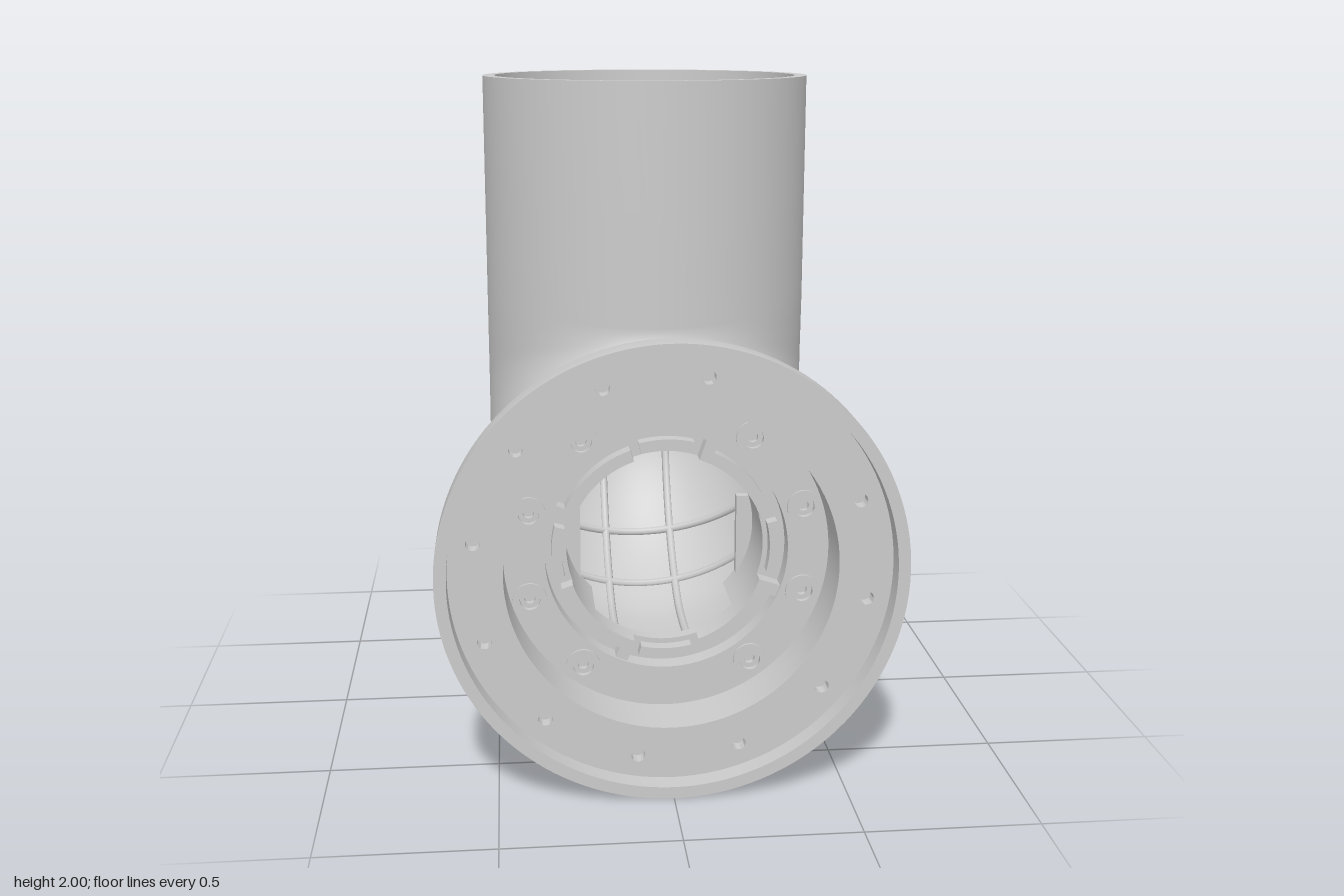
import * as THREE from 'three';
import { toCreasedNormals } from 'three/addons/utils/BufferGeometryUtils.js';

const V2 = (x, y) => new THREE.Vector2(x, y);
const RAD = Math.PI / 180;
const R = 0.51, WALL = 0.05, PIPE_Y = 0.665, STEM_Z = -0.203;

// Cross-sections of the elbow: inside edge (az, ay) and outside edge (bz, by).
function elbowRows() {
  const back = new THREE.SplineCurve([
    [-0.713, 1.45], [-0.718, 1.3], [-0.737, 1.08], [-0.759, 0.82], [-0.715, 0.6], [-0.605, 0.41],
    [-0.445, 0.262], [-0.26, 0.17], [-0.1, 0.148], [0.1, 0.15]].map(p => V2(...p)));
  const rows = [[0.307, 2, -0.713, 2], [0.307, 1.62, -0.713, 1.62], [0.307, 1.45, -0.713, 1.52]];
  const n = 40;
  for (let i = 0; i <= n; i++) {
    const a = i / n * Math.PI / 2, b = back.getPointAt(i / n);
    rows.push([0.407 - 0.1 * Math.cos(a), 1.28 - 0.1 * Math.sin(a), b.x, b.y]);
  }
  rows.push([0.45, 1.176, 0.3, 0.154], [0.53, 1.175, 0.53, 0.155]);
  return rows;
}

// Point on the elbow wall; angle 0 is the outside of the bend.
function wallPoint([az, ay, bz, by], th, inset) {
  const dz = (bz - az) / 2, dy = (by - ay) / 2;
  const k = (1 - inset / Math.hypot(dz, dy)) * Math.cos(th);
  return new THREE.Vector3((R - inset) * Math.sin(th), (ay + by) / 2 + dy * k, (az + bz) / 2 + dz * k);
}

function sweep(rows, inset, inward) {
  const n = 96, pos = [], idx = [];
  rows.forEach((row, j) => {
    for (let i = 0; i < n; i++) {
      pos.push(...wallPoint(row, i / n * 2 * Math.PI, inset).toArray());
      if (j === rows.length - 1) continue;
      const a = j * n + i, b = j * n + (i + 1) % n, c = a + n, d = b + n;
      if (inward) idx.push(a, c, b, b, c, d);
      else idx.push(a, b, c, b, d, c);
    }
  });
  const g = new THREE.BufferGeometry();
  g.setAttribute('position', new THREE.Float32BufferAttribute(pos, 3));
  g.setIndex(idx);
  g.computeVertexNormals();
  return g;
}

const lathe = (pts, seg = 96) =>
  toCreasedNormals(new THREE.LatheGeometry(pts.map(p => V2(...p)), seg), 0.6);

// Flat ring with a circle of holes, extruded along +z.
function holedRing(rOut, rIn, depth, angles, rPitch, rHole) {
  const s = new THREE.Shape().absarc(0, 0, rOut, 0, 2 * Math.PI);
  s.holes.push(new THREE.Path().absarc(0, 0, rIn, 0, 2 * Math.PI, true));
  for (const a of angles) {
    s.holes.push(new THREE.Path().absarc(rPitch * Math.cos(a * RAD), rPitch * Math.sin(a * RAD), rHole, 0, 2 * Math.PI, true));
  }
  const g = new THREE.ExtrudeGeometry(s, { depth, bevelEnabled: false, curveSegments: 48 });
  return toCreasedNormals(g, 0.6);
}

// Curved bar, extruded along +z.
function arcBar(r0, r1, from, to, depth) {
  const s = new THREE.Shape().absarc(0, 0, r1, from * RAD, to * RAD);
  s.absarc(0, 0, r0, to * RAD, from * RAD, true);
  return toCreasedNormals(new THREE.ExtrudeGeometry(s, { depth, bevelEnabled: false, curveSegments: 16 }), 0.6);
}

export function createModel() {
  const model = new THREE.Group();
  const mat = new THREE.MeshStandardMaterial({ color: 0xcccccc });
  const add = (name, geo, parent = model) => {
    const m = new THREE.Mesh(geo, mat);
    m.name = name;
    parent.add(m);
    return m;
  };
  const every30 = Array.from({ length: 12 }, (_, i) => i * 30);

  // Elbow pipe, outside and inside skins
  const rows = elbowRows();
  const shell = add('elbowOuterWall', sweep(rows, 0, false));
  add('elbowInnerWall', sweep(rows.slice(1), WALL, true));

  // Stepped socket at the top opening
  add('topSocket', lathe([[R, 2], [0.473, 2], [0.473, 1.84], [0.463, 1.84], [0.463, 1.68], [0.45, 1.68], [0.45, 1.6]]))
    .position.z = STEM_Z;
  const ledge = add('topLedge', holedRing(0.456, 0.38, 0.05, every30, 0.42, 0.015));
  ledge.rotation.x = -Math.PI / 2;
  ledge.position.set(0, 1.57, STEM_Z);

  // Stiffening ribs inside the bend
  const rib = (name, pts) =>
    add(name, new THREE.TubeGeometry(new THREE.CatmullRomCurve3(pts), 64, 0.014, 8));
  for (const side of [1, -1]) {
    const th = Math.asin(side * 0.115 / (R - WALL));
    rib('longRib', rows.slice(1).map(r => wallPoint(r, th, WALL)));
  }
  for (const z of [-0.555, -0.36]) {
    const row = rows.find(r => r[3] < 0.6 && r[2] > z);
    rib('crossRib', Array.from({ length: 25 }, (_, i) => wallPoint(row, (i - 12) * 7 * RAD, WALL)));
  }

  // Front flange
  const flange = new THREE.Group();
  flange.name = 'flange';
  flange.position.y = PIPE_Y;
  model.add(flange);
  add('flangeBody', lathe([
    [0.29, 0.44], [0.47, 0.44], [0.47, 0.507], [0.535, 0.507], [0.56, 0.514], [0.582, 0.53], [0.605, 0.558],
    [0.645, 0.632], [0.658, 0.656], [0.665, 0.685], [0.665, 0.762], [0.63, 0.762], [0.63, 0.66],
    [0.475, 0.66], [0.475, 0.51], [0.355, 0.51], [0.355, 0.48], [0.29, 0.48], [0.29, 0.44],
  ], 128).rotateX(Math.PI / 2), flange);
  const faceAngles = every30.map(a => a + 20).filter(a => a !== 50);
  add('flangeFace', holedRing(0.631, 0.475, 0.04, faceAngles, 0.565, 0.02), flange).position.z = 0.66;

  // Recessed floor with screw seats
  const seats = [18, 54, 126, 162, 198, 234, 306, 342];
  add('recessFloor', holedRing(0.476, 0.355, 0.03, seats, 0.42, 0.036), flange).position.z = 0.51;
  for (const a of seats) {
    const seat = add('screwSeat', lathe([[0.05, 0], [0.05, 0.008], [0.03, 0.008], [0.03, -0.008],
      [0.016, -0.008], [0.016, -0.025], [0, -0.025]], 24), flange);
    seat.rotation.x = Math.PI / 2;
    seat.position.set(0.42 * Math.cos(a * RAD), 0.42 * Math.sin(a * RAD), 0.54);
  }

  // Locking lips around the inlet
  for (const a of [45, 135, 225, 315]) {
    add('lockingLip', arcBar(0.29, 0.325, a - 26, a + 26, 0.05), flange).position.z = 0.48;
    add('lockingStop', arcBar(0.32, 0.357, a + 20, a + 26, 0.05), flange).position.z = 0.48;
  }
  for (const a of [0, 90, 180, 270]) {
    add('lockingTab', arcBar(0.305, 0.335, a - 14, a + 14, 0.04), flange).position.z = 0.48;
  }

  // Curved guide walls with end stops, just behind the inlet
  for (const a of [0, 180]) {
    add('guideWall', arcBar(0.29, 0.31, a - 45, a + 45, 0.2), flange).position.z = 0.25;
    add('guideStop', new THREE.BoxGeometry(0.06, 0.33, 0.03), flange)
      .position.set(0.27 * Math.cos(a * RAD), -0.08, 0.265);
  }

  // Drain openings on both flanks: [z, y, half width, half length, tilt]
  shell.updateMatrixWorld();
  for (const side of [1, -1]) {
    for (const [z, y, w, l, tilt] of [[-0.55, 0.5, 0.035, 0.075, 0], [0.145, 0.235, 0.027, 0.046, 0]]) {
      const ray = new THREE.Raycaster(new THREE.Vector3(side * 2, y, z), new THREE.Vector3(-side, 0, 0));
      const hit = ray.intersectObject(shell)[0];
      const drain = add('drainOpening', lathe([[1, -0.015], [1, 0.003], [0, 0.003]], 32).rotateX(Math.PI / 2));
      drain.position.copy(hit.point);
      drain.lookAt(hit.point.clone().add(hit.face.normal));
      drain.rotateZ(tilt);
      drain.scale.set(w, l, 1);
    }
  }
  return model;
}
